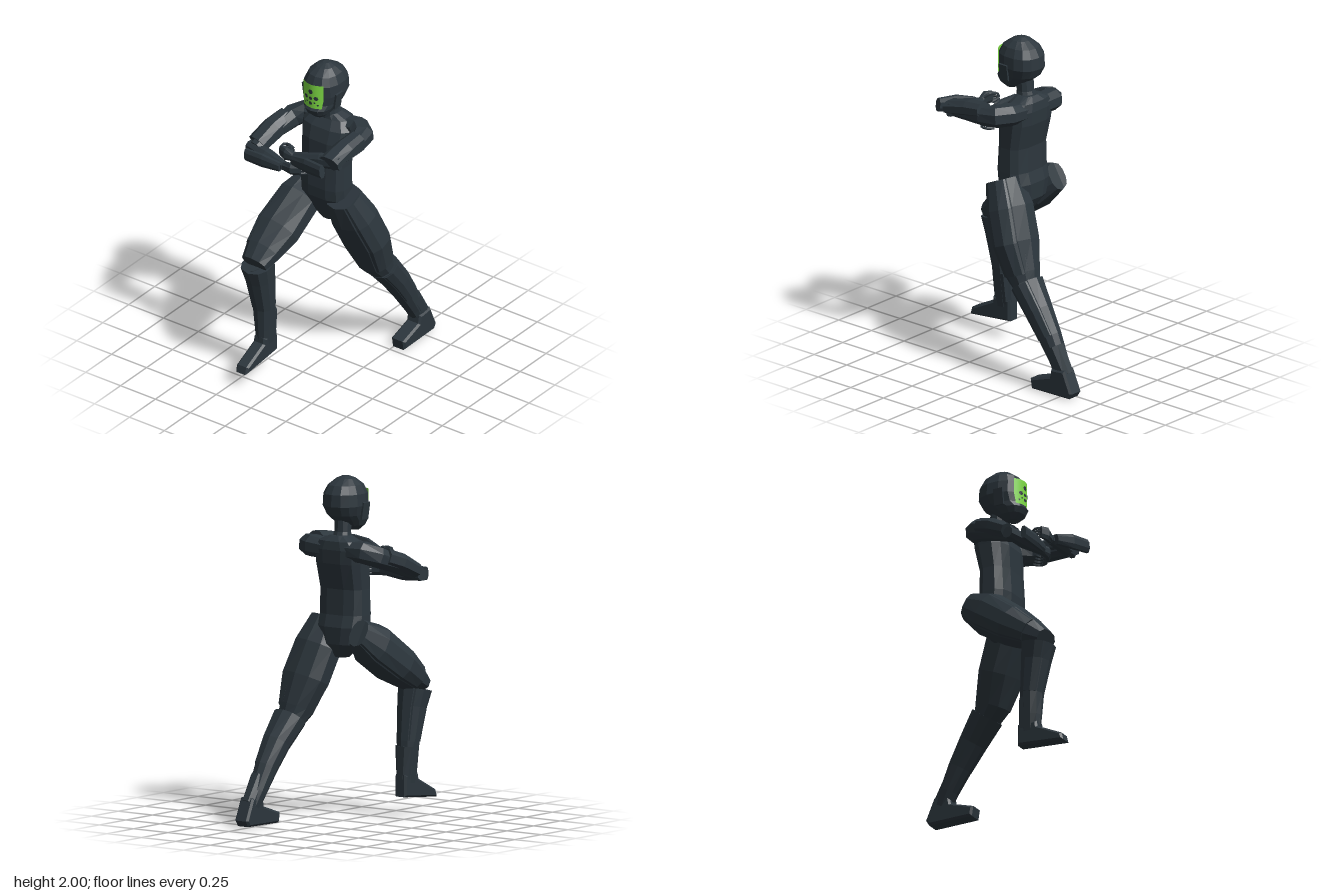
import * as THREE from 'three';

const V = (x, y, z) => new THREE.Vector3(x, y, z);
const X = V(1, 0, 0), Y = V(0, 1, 0);

export function createModel() {
  const group = new THREE.Group();
  const suit = new THREE.MeshStandardMaterial({ color: 0x2c363d, flatShading: true });
  suit.name = 'darkSuit';
  const glow = new THREE.MeshStandardMaterial({ color: 0x7fdc45, side: THREE.DoubleSide });
  glow.name = 'greenVisor';

  const add = (name, geometry, material = suit) => {
    const mesh = new THREE.Mesh(geometry, material);
    mesh.name = name;
    group.add(mesh);
    return mesh;
  };

  // Skin over cross-sections [x, y, z, a, b]: a is the half size along ref, b across it
  function loft(name, sections, { ref = X, axis = null, sides = 10, power = 0.9 } = {}) {
    const pos = [], index = [], n = sections.length;
    const c = sections.map((s) => V(s[0], s[1], s[2]));
    sections.forEach((s, i) => {
      const t = axis ? axis.clone()
        : c[Math.min(i + 1, n - 1)].clone().sub(c[Math.max(i - 1, 0)]).normalize();
      const u = ref.clone().addScaledVector(t, -ref.dot(t)).normalize();
      const v = t.clone().cross(u);
      for (let j = 0; j < sides; j++) {
        const q = ((j + 0.5) / sides) * Math.PI * 2;
        const bend = (k) => Math.sign(k) * Math.abs(k) ** power;
        const p = c[i].clone().addScaledVector(u, s[3] * bend(Math.cos(q)))
          .addScaledVector(v, s[4] * bend(Math.sin(q)));
        pos.push(p.x, p.y, p.z);
      }
    });
    pos.push(...c[0].toArray(), ...c[n - 1].toArray());
    for (let j = 0; j < sides; j++) {
      const k = (j + 1) % sides;
      for (let i = 0; i < n - 1; i++) {
        const a = i * sides + j, b = i * sides + k;
        index.push(a, b, b + sides, a, b + sides, a + sides);
      }
      const e = (n - 1) * sides;
      index.push(n * sides, k, j, n * sides + 1, e + j, e + k);
    }
    const g = new THREE.BufferGeometry();
    g.setAttribute('position', new THREE.Float32BufferAttribute(pos, 3));
    g.setIndex(index);
    g.computeVertexNormals();
    return add(name, g);
  }

  // Horizontal rings given as [y, half width, back z, front z]
  const stack = (name, rows, options) => loft(name,
    rows.map(([y, w, back, front]) => [0.02, y, (back + front) / 2, w, (front - back) / 2]),
    { axis: Y, ...options });

  // Torso and neck
  stack('torso', [
    [0.95, 0.04, -0.02, 0.06], [1.03, 0.12, -0.07, 0.1], [1.13, 0.157, -0.075, 0.145],
    [1.2, 0.157, -0.055, 0.15], [1.35, 0.155, -0.05, 0.14], [1.5, 0.163, -0.085, 0.135],
    [1.58, 0.17, -0.088, 0.11], [1.63, 0.13, -0.08, 0.07], [1.66, 0.06, -0.05, 0.06],
  ], { sides: 12, power: 0.7 });
  stack('neck', [[1.62, 0.06, -0.05, 0.07], [1.68, 0.05, -0.025, 0.07], [1.78, 0.05, -0.02, 0.08]]);

  // Helmet with a jutting jaw
  stack('helmet', [
    [1.68, 0.035, 0.09, 0.155], [1.71, 0.07, 0.03, 0.19], [1.745, 0.088, -0.02, 0.208],
    [1.775, 0.1, -0.06, 0.187], [1.83, 0.118, -0.087, 0.185], [1.9, 0.115, -0.083, 0.185],
    [1.95, 0.093, -0.055, 0.16], [1.985, 0.055, 0, 0.11], [2, 0.02, 0.03, 0.07],
  ], { sides: 14, power: 0.85 });
  for (const s of [1, -1]) {
    const ear = add('earPanel', new THREE.BoxGeometry(0.012, 0.1, 0.06));
    ear.position.set(0.02 + s * 0.112, 1.8, 0.09);
    ear.rotation.z = -s * 0.15;
  }

  // Curved visor with dark vents
  const wrap = (g, cx, cy, lift, shape) => {
    const p = g.attributes.position;
    for (let i = 0; i < p.count; i++) {
      const y = p.getY(i) + cy;
      const x = (p.getX(i) + cx) * (shape ? 1 - 2.2 * Math.max(0, 1.82 - y) : 1);
      p.setXYZ(i, x + 0.018, y, 0.199 + lift - 5.5 * x * x);
    }
    g.computeVertexNormals();
    return g;
  };
  add('visor', wrap(new THREE.PlaneGeometry(0.144, 0.155, 10, 8), 0, 1.838, 0, true), glow);
  const vents = [[0, 1.868, 0.016], [-0.034, 1.829, 0.014], [0.034, 1.829, 0.014], [0, 1.825, 0.012],
    [0, 1.793, 0.012], [-0.026, 1.8, 0.006], [0.026, 1.8, 0.006], [-0.045, 1.785, 0.006], [0.045, 1.785, 0.006]];
  for (const [x, y, r] of vents) add('visorVent', wrap(new THREE.CircleGeometry(r, 6), x, y, 0.003));

  // Legs: side is the outward x direction
  function leg(label, side, thigh, shin, footX, footWidth, foot) {
    const plate = (rows, shift, a, b) => rows.map((s) =>
      [s[0] + side * s[3] * shift, s[1], s[2], s[3] * a, s[4] * b]);
    loft(label + 'Thigh', thigh);
    loft(label + 'ThighGuard', plate(thigh.slice(0, 4), 0.38, 0.66, 0.88));
    loft(label + 'Shin', shin);
    loft(label + 'ShinGuard', plate(shin.slice(0, 3), 0.3, 0.75, 0.9));
    const shape = new THREE.Shape(foot.map(([z, y]) => new THREE.Vector2(-z, y)));
    const bevel = 0.012;
    const g = new THREE.ExtrudeGeometry(shape, {
      depth: footWidth - 2 * bevel, bevelSize: bevel, bevelOffset: -bevel, bevelThickness: bevel, bevelSegments: 1,
    });
    g.translate(0, 0, bevel - footWidth / 2).rotateY(Math.PI / 2).translate(footX, 0, 0);
    add(label + 'Foot', g);
  }
  leg('left', 1,
    [[0.155, 1.15, 0.07, 0.1, 0.1], [0.175, 1, 0, 0.14, 0.122], [0.208, 0.82, -0.075, 0.145, 0.117],
      [0.23, 0.65, -0.14, 0.1, 0.1], [0.24, 0.59, -0.18, 0.085, 0.075]],
    [[0.24, 0.6, -0.185, 0.1, 0.088], [0.258, 0.465, -0.29, 0.08, 0.08], [0.265, 0.33, -0.38, 0.064, 0.07],
      [0.27, 0.2, -0.455, 0.053, 0.055], [0.28, 0.1, -0.51, 0.045, 0.05]],
    0.283, 0.097,
    [[-0.29, 0], [-0.28, 0.06], [-0.43, 0.11], [-0.44, 0.16], [-0.54, 0.17], [-0.597, 0.04], [-0.575, 0.005]]);
  leg('right', -1,
    [[-0.16, 1.11, -0.06, 0.06, 0.085], [-0.155, 1.03, 0.07, 0.12, 0.13], [-0.178, 0.9, 0.25, 0.135, 0.12],
      [-0.187, 0.815, 0.38, 0.11, 0.09], [-0.19, 0.765, 0.465, 0.085, 0.055]],
    [[-0.195, 0.74, 0.42, 0.093, 0.1], [-0.19, 0.64, 0.4, 0.08, 0.088], [-0.187, 0.44, 0.37, 0.065, 0.068],
      [-0.187, 0.3, 0.365, 0.052, 0.064], [-0.187, 0.18, 0.358, 0.042, 0.06]],
    -0.187, 0.083,
    [[0.597, 0.09], [0.585, 0.135], [0.425, 0.215], [0.42, 0.25], [0.295, 0.25], [0.293, 0.12]]);

  // Ankle cuffs over the heels
  loft('leftAnkleCuff', [[0.275, 0.28, -0.425, 0.052, 0.055], [0.28, 0.13, -0.515, 0.045, 0.052]], { sides: 8 });
  loft('rightAnkleCuff', [[-0.187, 0.41, 0.345, 0.063, 0.048], [-0.187, 0.22, 0.335, 0.045, 0.045]], { sides: 8 });

  // Arms: upper arm, forearm, armour sleeves and hand
  const arm = { ref: Y, sides: 8 };
  loft('leftUpperArm', [[0.1, 1.575, -0.015, 0.06, 0.065], [0.2, 1.585, -0.015, 0.065, 0.07],
    [0.26, 1.58, 0.03, 0.065, 0.07], [0.285, 1.57, 0.12, 0.055, 0.052], [0.275, 1.555, 0.34, 0.045, 0.05]], arm);
  loft('leftArmSleeve', [[0.285, 1.605, 0.11, 0.045, 0.058], [0.28, 1.59, 0.22, 0.05, 0.065],
    [0.275, 1.56, 0.37, 0.042, 0.072]], arm);
  loft('leftForearm', [[0.33, 1.56, 0.335, 0.04, 0.025], [0.2, 1.545, 0.345, 0.045, 0.035],
    [0.02, 1.51, 0.365, 0.028, 0.025]], arm);
  loft('leftForearmGuard', [[0.29, 1.55, 0.455, 0.042, 0.022], [0.16, 1.535, 0.43, 0.046, 0.024],
    [0.04, 1.51, 0.395, 0.032, 0.022]], arm);
  loft('leftHand', [[0.03, 1.51, 0.365, 0.025, 0.02], [-0.03, 1.52, 0.375, 0.042, 0.022],
    [-0.075, 1.52, 0.36, 0.036, 0.016]], arm);

  loft('rightUpperArm', [[-0.06, 1.575, -0.015, 0.06, 0.065], [-0.16, 1.575, -0.015, 0.065, 0.07],
    [-0.225, 1.545, 0.04, 0.065, 0.068], [-0.26, 1.5, 0.15, 0.055, 0.055], [-0.29, 1.43, 0.31, 0.045, 0.05]], arm);
  loft('rightArmSleeve', [[-0.25, 1.545, 0.07, 0.055, 0.06], [-0.275, 1.51, 0.17, 0.055, 0.068],
    [-0.3, 1.45, 0.285, 0.045, 0.068]], arm);
  loft('rightForearm', [[-0.345, 1.425, 0.3, 0.036, 0.035], [-0.2, 1.42, 0.325, 0.043, 0.045],
    [-0.06, 1.415, 0.35, 0.028, 0.028]], arm);
  loft('rightForearmGuard', [[-0.31, 1.42, 0.385, 0.04, 0.018], [-0.19, 1.42, 0.385, 0.043, 0.02],
    [-0.07, 1.415, 0.375, 0.03, 0.018]], arm);
  loft('rightHand', [[-0.07, 1.415, 0.35, 0.026, 0.022], [0, 1.42, 0.36, 0.036, 0.022],
    [0.05, 1.42, 0.335, 0.036, 0.016]], arm);

  // Curled fingers and thumbs
  const finger = (name, points, r) => add(name,
    new THREE.TubeGeometry(new THREE.CatmullRomCurve3(points), 6, r, 5));
  for (let i = 0; i < 4; i++) {
    const h = (i - 1.5) * 0.018;
    finger('rightFinger', [V(0.045, 1.42 + h, 0.335), V(0.083, 1.42 + h, 0.3),
      V(0.08, 1.418 + h, 0.265), V(0.045, 1.416 + h, 0.24 + i * 0.006)], 0.008);
    finger('leftFinger', [V(-0.065, 1.52 + h, 0.36), V(-0.085, 1.515 + h, 0.33),
      V(-0.06, 1.505 + h, 0.3), V(-0.02, 1.495 + h, 0.29 + i * 0.006)], 0.008);
  }
  finger('rightThumb', [V(-0.02, 1.44, 0.345), V(0.01, 1.45, 0.315), V(0.045, 1.445, 0.3)], 0.01);
  finger('leftThumb', [V(0, 1.535, 0.36), V(-0.03, 1.555, 0.335), V(-0.06, 1.55, 0.325)], 0.01);

  return group;
}
